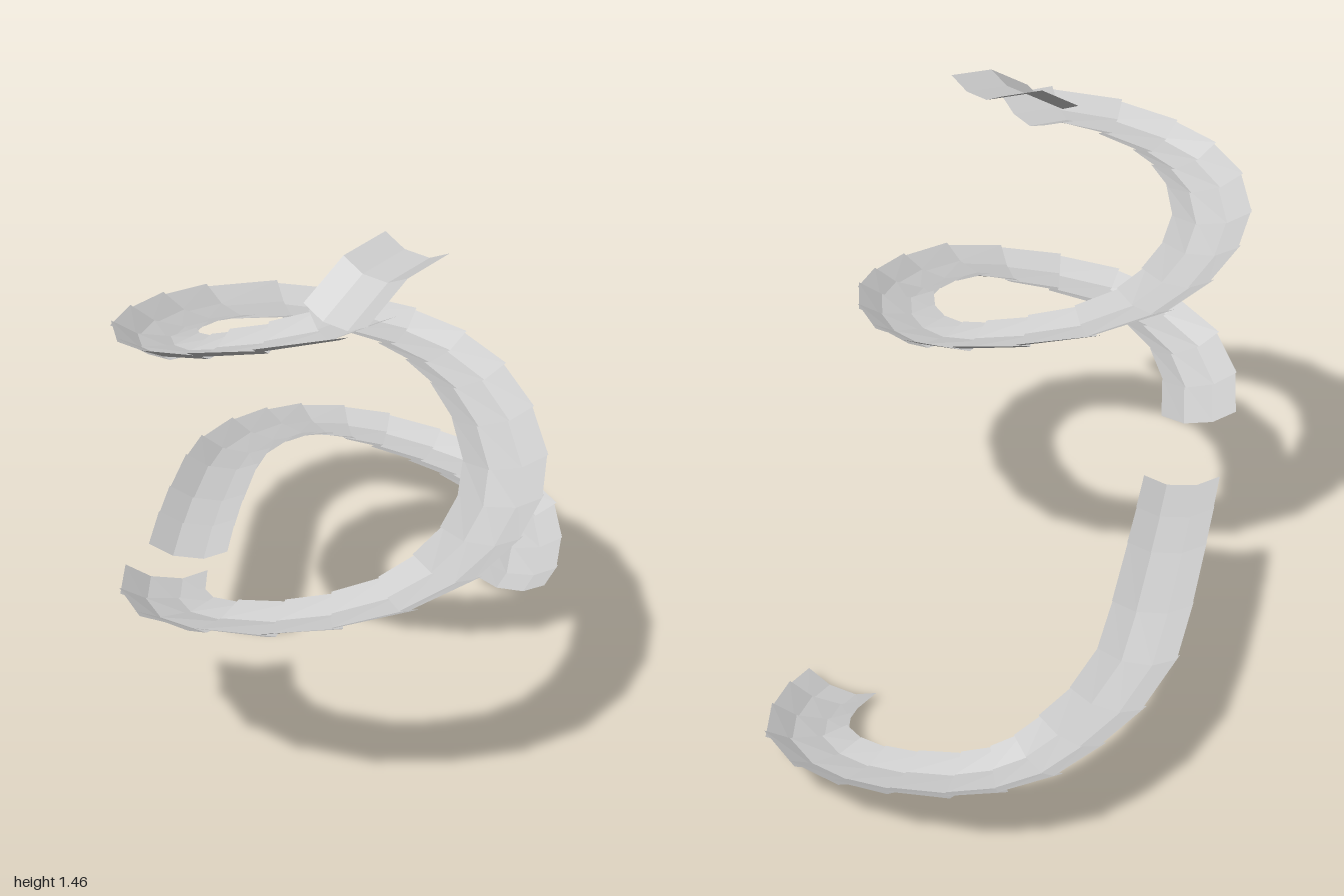
import * as THREE from 'three';

// Trough cross-section: sideways offset (positive towards the inside of the bends), height
const PROFILE = [[-0.108, 0.03], [-0.042, 0], [0.042, 0], [0.108, 0.03]];

// Floor centreline of each run, listed from top to bottom
const ENTRY = [[0.47, 1.434, 0.28], [0.47, 1.412, 0.43], [0.47, 1.328, 0.57]];
const SPIRAL = [
  [0.47, 1.328, 0.45], [0.45, 1.312, 0.575], [0.345, 1.28, 0.68], [0.22, 1.245, 0.74],
  [0.12, 1.215, 0.755], [0, 1.185, 0.72], [-0.12, 1.15, 0.63], [-0.2, 1.12, 0.51],
  [-0.25, 1.09, 0.37], [-0.26, 1.062, 0.24], [-0.21, 1.032, 0.08], [-0.1, 1, -0.04],
  [0.03, 0.965, -0.12], [0.15, 0.935, -0.145], [0.29, 0.905, -0.12], [0.45, 0.868, -0.04],
  [0.6, 0.83, 0.08], [0.69, 0.795, 0.2], [0.75, 0.765, 0.34], [0.77, 0.735, 0.49],
  [0.73, 0.695, 0.62], [0.64, 0.66, 0.74], [0.52, 0.628, 0.83], [0.35, 0.59, 0.88],
  [0.2, 0.55, 0.865], [0.06, 0.512, 0.79], [-0.07, 0.477, 0.66],
];
const EXIT = [
  [-0.21, 0.412, 0.455], [-0.32, 0.408, 0.32], [-0.43, 0.398, 0.18], [-0.59, 0.37, -0.03],
  [-0.7, 0.335, -0.19], [-0.765, 0.304, -0.36], [-0.782, 0.278, -0.5], [-0.775, 0.25, -0.61],
  [-0.73, 0.224, -0.7], [-0.65, 0.198, -0.775], [-0.52, 0.167, -0.84], [-0.4, 0.142, -0.877],
  [-0.27, 0.118, -0.885], [-0.12, 0.084, -0.84], [-0.02, 0.054, -0.75], [0.05, 0.028, -0.65],
  [0.083, 0.013, -0.562],
];
const STEP = 0.004; // height of a panel's end off the centreline
const OVERLAP = 0.014; // reach of a panel past each joint

// Builds flat-bottomed panels along a polyline, mitred at the bends and lapped
// like shingles when bank, the sideways slope, is given
function trough(name, path, bank, material) {
  const pts = path.map((p) => new THREE.Vector3(...p));
  const last = pts.length - 1;
  const up = new THREE.Vector3(0, 1, 0);
  const n = PROFILE.length;
  const positions = [];
  const index = [];

  const addSection = (i, shift) => {
    const before = pts[i].clone().sub(pts[Math.max(i - 1, 0)]).setY(0).normalize();
    const after = pts[Math.min(i + 1, last)].clone().sub(pts[i]).setY(0).normalize();
    const dir = before.clone().add(after).normalize();
    const half = dir.dot(after.lengthSq() ? after : before);
    const side = new THREE.Vector3().crossVectors(dir, up).divideScalar(half);
    const p = pts[i].clone().add(shift);
    for (const [s, h] of PROFILE) {
      positions.push(p.x + side.x * s, p.y + h - bank * (s + 0.108), p.z + side.z * s);
    }
  };

  for (let i = 0; i < last; i++) {
    const along = pts[i + 1].clone().sub(pts[i]).normalize();
    const shiftAt = (sign, joint) => {
      const shift = new THREE.Vector3();
      if (bank && joint) shift.addScaledVector(along, OVERLAP * sign);
      if (bank) shift.y += STEP * sign;
      return shift;
    };
    addSection(i, shiftAt(-1, i > 0));
    addSection(i + 1, shiftAt(1, i + 1 < last));
    for (let k = 0; k < n - 1; k++) {
      const a = i * 2 * n + k;
      const b = a + n;
      index.push(a, a + 1, b, a + 1, b + 1, b);
    }
  }
  const geometry = new THREE.BufferGeometry();
  geometry.setAttribute('position', new THREE.Float32BufferAttribute(positions, 3));
  geometry.setIndex(index);
  geometry.computeVertexNormals();
  const mesh = new THREE.Mesh(geometry, material);
  mesh.name = name;
  return mesh;
}

export function createModel() {
  const material = new THREE.MeshStandardMaterial({
    color: 0xcccccc, flatShading: true, side: THREE.DoubleSide,
  });
  const group = new THREE.Group();
  group.name = 'slideTrack';
  group.add(
    trough('entryChute', ENTRY, 0, material),
    trough('spiralChute', SPIRAL, 0.09, material),
    trough('exitChute', EXIT, 0.07, material),
  );
  return group;
}
